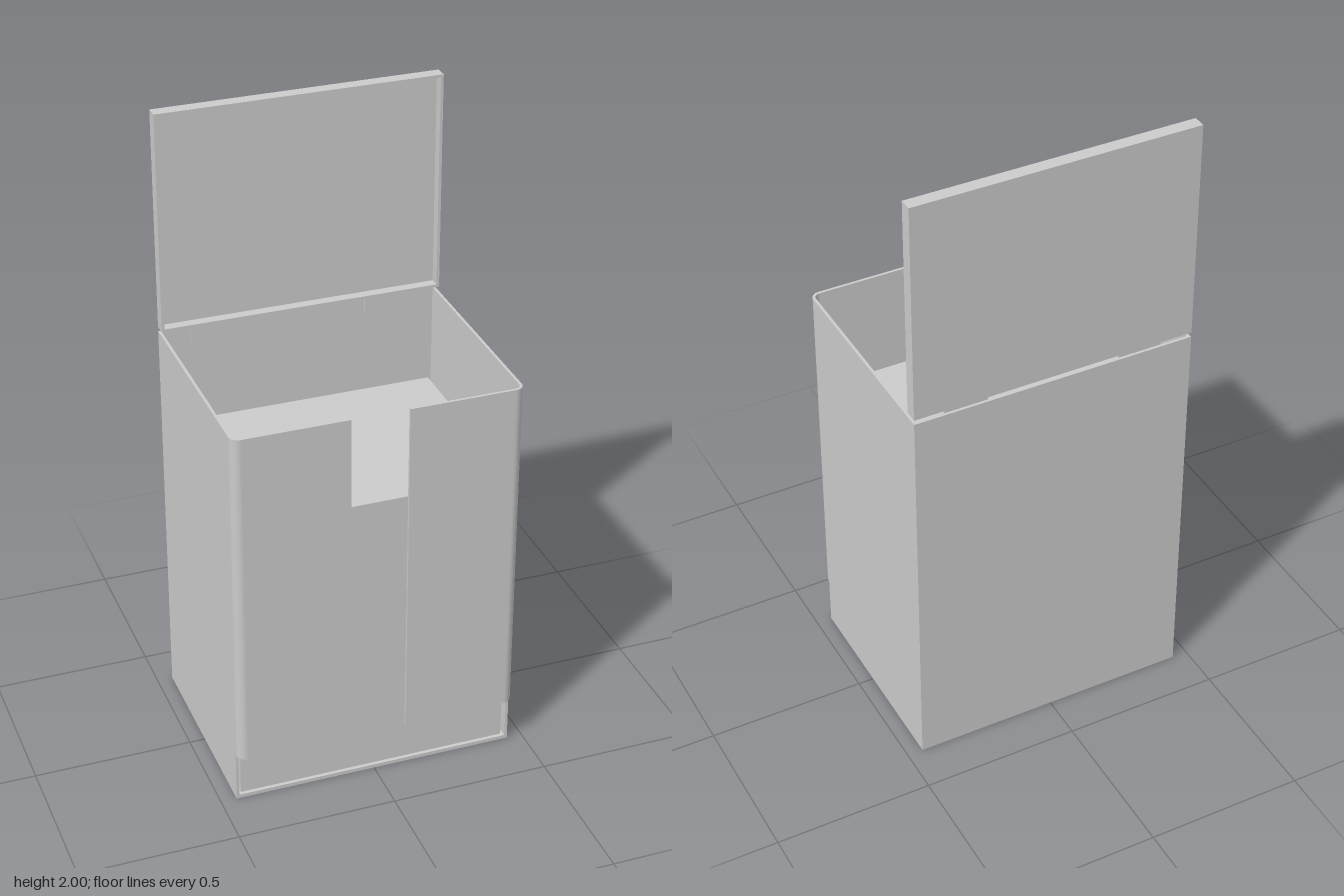
import * as THREE from 'three';

const W = 0.45, D = 0.357, T = 0.009;   // half width, half depth, sheet thickness
const TOP = 1.28, KICK = 0.165;         // cabinet height, bottom of the front panels

export function createModel() {
  const root = new THREE.Group();
  const mat = new THREE.MeshStandardMaterial({ color: 0xcccccc, flatShading: true });

  const add = (name, geo, parent = root) => {
    const m = new THREE.Mesh(geo, mat);
    m.name = name;
    parent.add(m);
    return m;
  };
  // box given by its two opposite corners
  const box = (name, x0, x1, y0, y1, z0, z1, parent) => {
    const m = add(name, new THREE.BoxGeometry(x1 - x0, y1 - y0, z1 - z0), parent);
    m.position.set((x0 + x1) / 2, (y0 + y1) / 2, (z0 + z1) / 2);
  };
  // floor-plan outline (x, -z) raised from y0 to y1
  const raise = (name, shape, y0, y1) => {
    const g = new THREE.ExtrudeGeometry(shape, { depth: y1 - y0, bevelEnabled: false, curveSegments: 8 });
    g.rotateX(-Math.PI / 2);
    add(name, g).position.y = y0;
  };

  // lower sheet: back and sides, open at the toe recess
  const lower = new THREE.Shape([
    [-W, -0.322], [-W + T, -0.322], [-W + T, D - T], [W - T, D - T],
    [W - T, -0.322], [W, -0.322], [W, D], [-W, D],
  ].map(([x, y]) => new THREE.Vector2(x, y)));
  raise('lowerWalls', lower, 0, KICK);

  // upper sheet: back, sides and front panels folded round with rounded corners
  const R = 0.03, r = R - T, gap = 0.09, F = -D + 0.002;
  const s = new THREE.Shape();
  s.moveTo(-W, D);
  s.lineTo(-W, F + R);
  s.absarc(-W + R, F + R, R, Math.PI, Math.PI * 1.5, false);
  s.lineTo(-gap, F);
  s.lineTo(-gap, F + T);
  s.lineTo(-W + R, F + T);
  s.absarc(-W + R, F + R, r, Math.PI * 1.5, Math.PI, true);
  s.lineTo(-W + T, D - T);
  s.lineTo(W - T, D - T);
  s.lineTo(W - T, F + R);
  s.absarc(W - R, F + R, r, 0, -Math.PI / 2, true);
  s.lineTo(gap, F + T);
  s.lineTo(gap, F);
  s.lineTo(W - R, F);
  s.absarc(W - R, F + R, R, -Math.PI / 2, 0, false);
  s.lineTo(W, D);
  raise('upperWallsAndFrontPanels', s, KICK, TOP);

  // base plate and inner block
  box('basePlate', -W + T, W - T, 0, 0.012, -D + T, 0.322);
  box('innerBlock', -0.432, 0.432, 0.012, 0.96, -D + T, 0.31);

  // raised lid: shallow tray open to the front
  const lid = new THREE.Group();
  lid.name = 'lid';
  root.add(lid);
  const y0 = 1.295, y1 = 2, zf = -0.316;
  box('lidPanel', -W, W, y0, y1, -D, -D + T, lid);
  box('lidRimTop', -W, W, y1 - T, y1, -D + T, zf, lid);
  box('lidRimBottom', -W, W, y0, y0 + T, -D + T, zf, lid);
  for (const k of [-1, 1]) {
    const a = k * W, b = k * (W - T);
    box('lidRimSide', Math.min(a, b), Math.max(a, b), y0 + T, y1 - T, -D + T, zf, lid);
    // hinge leaf on the inside of the back wall
    const c = k * 0.282;
    box('hinge', c - 0.069, c + 0.069, 1.23, 1.297, -D + T, -D + T + 0.005);
  }
  return root;
}
